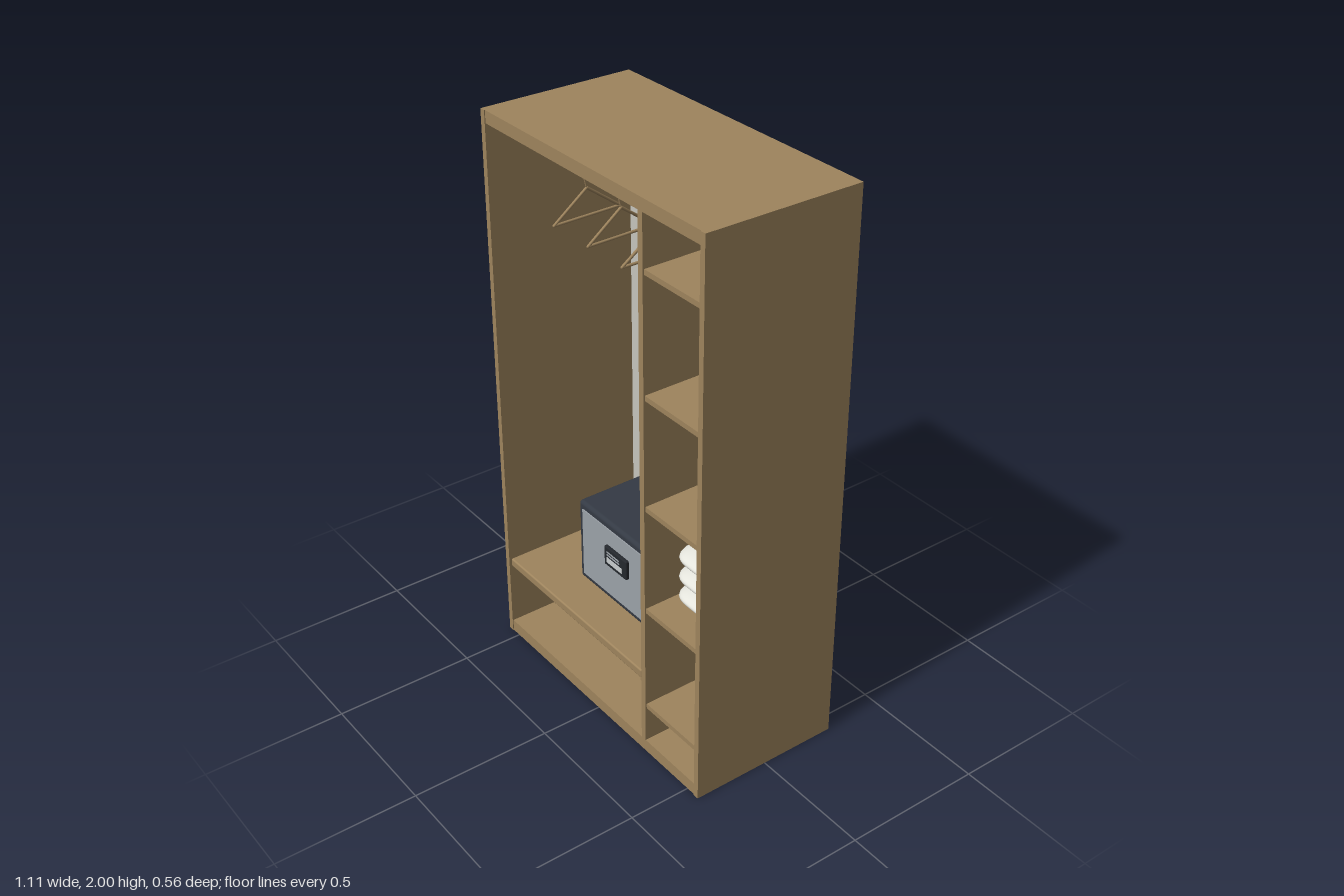
import * as THREE from 'three';
import { RoundedBoxGeometry } from 'three/addons/geometries/RoundedBoxGeometry.js';

const material = (name, color) => {
  const m = new THREE.MeshStandardMaterial({ color });
  m.name = name;
  return m;
};

export function createModel() {
  const wood = material('wood', 0x9e845d);
  const backGrey = material('back panel grey', 0xc6c5bd);
  const safeDark = material('safe charcoal', 0x343a44);
  const safeGrey = material('safe door grey', 0x9ca2a8);
  const keypadDark = material('keypad black', 0x24282d);
  const displayGrey = material('display grey', 0xc9cdcf);
  const linen = material('linen', 0xe4e4dc);

  const model = new THREE.Group();
  model.name = 'wardrobe';

  const add = (name, geometry, mat, parent = model) => {
    const mesh = new THREE.Mesh(geometry, mat);
    mesh.name = name;
    parent.add(mesh);
    return mesh;
  };
  // Box given by its limits; a radius rounds the edges
  const box = (name, [x0, x1], [y0, y1], [z0, z1], mat, parent = model, radius = 0) => {
    const size = [x1 - x0, y1 - y0, z1 - z0];
    const geometry = radius
      ? new RoundedBoxGeometry(...size, 3, radius)
      : new THREE.BoxGeometry(...size);
    const mesh = add(name, geometry, mat, parent);
    mesh.position.set((x0 + x1) / 2, (y0 + y1) / 2, (z0 + z1) / 2);
    return mesh;
  };

  // Carcass
  box('rightSide', [-0.557, -0.536], [0, 2], [-0.28, 0.28], wood);
  box('leftSide', [0.536, 0.557], [0, 2], [-0.28, 0.28], wood);
  box('topPanel', [-0.536, 0.536], [1.957, 2], [-0.28, 0.277], wood);
  box('bottomPanel', [-0.536, 0.536], [0, 0.045], [-0.28, 0.277], wood);
  box('divider', [0.25, 0.272], [0.045, 1.957], [-0.266, 0.277], wood);
  box('backPanel', [-0.536, 0.536], [0.045, 1.957], [-0.278, -0.266], backGrey);

  // Narrow shelves and the wide shelf with its cleat
  for (const y of [0.18, 0.57, 0.958, 1.351, 1.763]) {
    box('narrowShelf', [0.272, 0.536], [y, y + 0.018], [-0.266, 0.272], wood);
  }
  box('wideShelf', [-0.536, 0.242], [0.285, 0.318], [-0.266, 0.272], wood, model, 0.006);
  box('shelfCleat', [0.234, 0.25], [0.272, 0.298], [-0.266, 0.268], wood);

  // Hanging rod with end sockets
  const rodPart = (name, radius, x0, x1) => {
    const mesh = add(name, new THREE.CylinderGeometry(radius, radius, x1 - x0, 24), wood);
    mesh.rotation.z = Math.PI / 2;
    mesh.position.set((x0 + x1) / 2, 1.78, 0);
  };
  rodPart('rod', 0.014, -0.536, 0.25);
  rodPart('rodSocket', 0.021, -0.536, -0.512);
  rodPart('rodSocket', 0.021, 0.212, 0.25);

  // Clothes hangers: a hook over the rod and a triangular frame
  const hookPoints = [];
  for (let i = 0; i <= 8; i++) {
    const a = -0.3 + (i / 8) * (Math.PI + 0.3);
    hookPoints.push(new THREE.Vector3(0, 1.78 + 0.018 * Math.sin(a), -0.018 * Math.cos(a)));
  }
  hookPoints.push(new THREE.Vector3(0, 1.755, 0.01), new THREE.Vector3(0, 1.715, 0));
  const hook = new THREE.TubeGeometry(new THREE.CatmullRomCurve3(hookPoints), 28, 0.003, 8);
  const corners = [[1.718, 0], [1.622, 0.13], [1.622, -0.13]]
    .map(([y, z]) => new THREE.Vector3(0, y, z));
  const yaws = [0.02, 0.025, -0.02, -0.01];
  [-0.402, -0.216, -0.031, 0.156].forEach((x, n) => {
    const hanger = new THREE.Group();
    hanger.name = 'hanger';
    hanger.position.x = x;
    hanger.rotation.y = yaws[n];
    model.add(hanger);
    add('hangerHook', hook, wood, hanger);
    corners.forEach((a, i) => {
      const line = new THREE.LineCurve3(a, corners[(i + 1) % 3]);
      add('hangerBar', new THREE.TubeGeometry(line, 1, 0.005, 8), wood, hanger);
      add('hangerCorner', new THREE.SphereGeometry(0.005, 8, 6), wood, hanger).position.copy(a);
    });
  });

  // Safe
  const safe = new THREE.Group();
  safe.name = 'safe';
  model.add(safe);
  box('safeBody', [-0.307, 0.08], [0.318, 0.637], [-0.23, 0.13], safeDark, safe, 0.014);
  box('safeDoor', [-0.281, 0.055], [0.344, 0.611], [0.126, 0.134], safeGrey, safe);
  box('keypad', [-0.138, -0.012], [0.472, 0.548], [0.13, 0.146], keypadDark, safe, 0.005);
  box('display', [-0.122, -0.036], [0.488, 0.508], [0.143, 0.148], displayGrey, safe);
  for (const y of [0.516, 0.527]) {
    box('keyRow', [-0.122, -0.05], [y, y + 0.005], [0.143, 0.148], safeGrey, safe);
  }

  // Stacked cushions: a sphere squared off in plan
  const cushion = new THREE.SphereGeometry(1, 48, 24);
  const p = cushion.attributes.position;
  for (let i = 0; i < p.count; i++) {
    const x = p.getX(i), z = p.getZ(i);
    const r = Math.hypot(x, z);
    const k = r > 1e-6 ? r / Math.pow(x ** 4 + z ** 4, 0.25) : 1;
    p.setXYZ(i, x * k * 0.114, p.getY(i) * 0.039, z * k * 0.18);
  }
  cushion.computeVertexNormals();
  for (let i = 0; i < 3; i++) {
    add('cushion', cushion, linen).position.set(0.399, 0.626 + i * 0.0745, 0.01);
  }

  return model;
}
